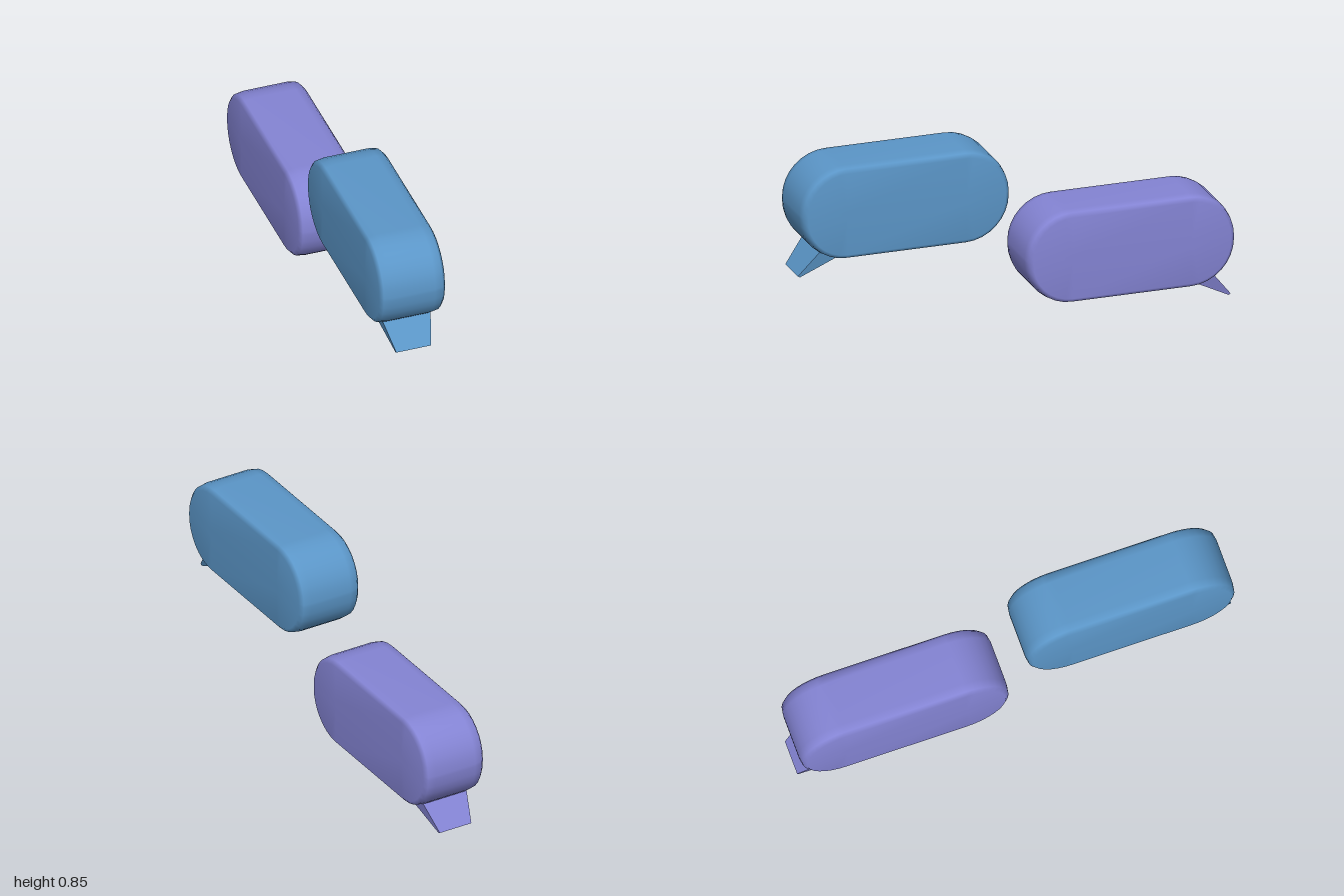
import * as THREE from 'three';

// Skins equal-length closed rings of [x, y, z]; ends are closed by a fan about the ring middle.
function loft(rings) {
  const n = rings[0].length, index = [];
  for (let r = 0; r < rings.length - 1; r++) {
    for (let i = 0; i < n; i++) {
      const j = (i + 1) % n, a = r * n, b = a + n;
      index.push(a + i, a + j, b + j, a + i, b + j, b + i);
    }
  }
  const last = (rings.length - 1) * n;
  for (let i = 1; i < n - 1; i++) {
    index.push(0, i + 1, i, last, last + i, last + i + 1);
  }
  const geo = new THREE.BufferGeometry();
  geo.setAttribute('position', new THREE.Float32BufferAttribute(rings.flat(2), 3));
  geo.setIndex(index);
  return geo;
}

// Rounded rectangle in the side plane, pulled in by an inset
function outline(x, inset) {
  const halfZ = 0.48, halfY = 0.2125, radius = 0.205, steps = 8, ring = [];
  const corners = [[1, 1], [-1, 1], [-1, -1], [1, -1]];
  corners.forEach(([sy, sz], k) => {
    for (let i = 0; i <= steps; i++) {
      const a = (k + i / steps) * Math.PI / 2;
      ring.push([
        x,
        sy * (halfY - radius) + Math.cos(a) * (radius - inset),
        sz * (halfZ - radius) + Math.sin(a) * (radius - inset),
      ]);
    }
  });
  return ring;
}

function bubbleBody() {
  const sections = [
    [-0.152, 0.2], [-0.152, 0.024], [-0.136, 0.006], [-0.1, 0],
    [0.1, 0], [0.136, 0.006], [0.152, 0.024], [0.152, 0.2],
  ];
  const geo = loft(sections.map(([x, inset]) => outline(x, inset)));
  geo.computeVertexNormals();
  return geo;
}

// Tapered pointer: buried root, rim at the body surface, thin tip
function bubbleTail() {
  const ring = (w, [y1, z1], [y2, z2]) => [[-w, y1, z1], [w, y1, z1], [w, y2, z2], [-w, y2, z2]];
  const geo = loft([
    ring(0.11, [-0.13, 0.33], [-0.16, 0.29]),
    ring(0.11, [-0.177, 0.39], [-0.21, 0.315]),
    ring(0.08, [-0.287, 0.479], [-0.293, 0.47]),
  ]).toNonIndexed();
  geo.computeVertexNormals();
  return geo;
}

function bubble(name, color) {
  const group = new THREE.Group();
  group.name = name;
  const material = new THREE.MeshStandardMaterial({ color, side: THREE.DoubleSide });
  const body = new THREE.Mesh(bubbleBody(), material);
  body.name = 'bubbleBody';
  const tail = new THREE.Mesh(bubbleTail(), material);
  tail.name = 'bubbleTail';
  group.add(body, tail);
  return group;
}

export function createModel() {
  const model = new THREE.Group();
  model.name = 'speechBubbles';

  // Upper bubble faces the front
  const upper = bubble('upperSpeechBubble', 0x5b96c8);
  upper.position.set(0, 0.633, 0.52);

  // Lower bubble is turned to the back
  const lower = bubble('lowerSpeechBubble', 0x8484d4);
  lower.position.set(0, 0.293, -0.52);
  lower.rotation.y = Math.PI;

  model.add(upper, lower);
  return model;
}
